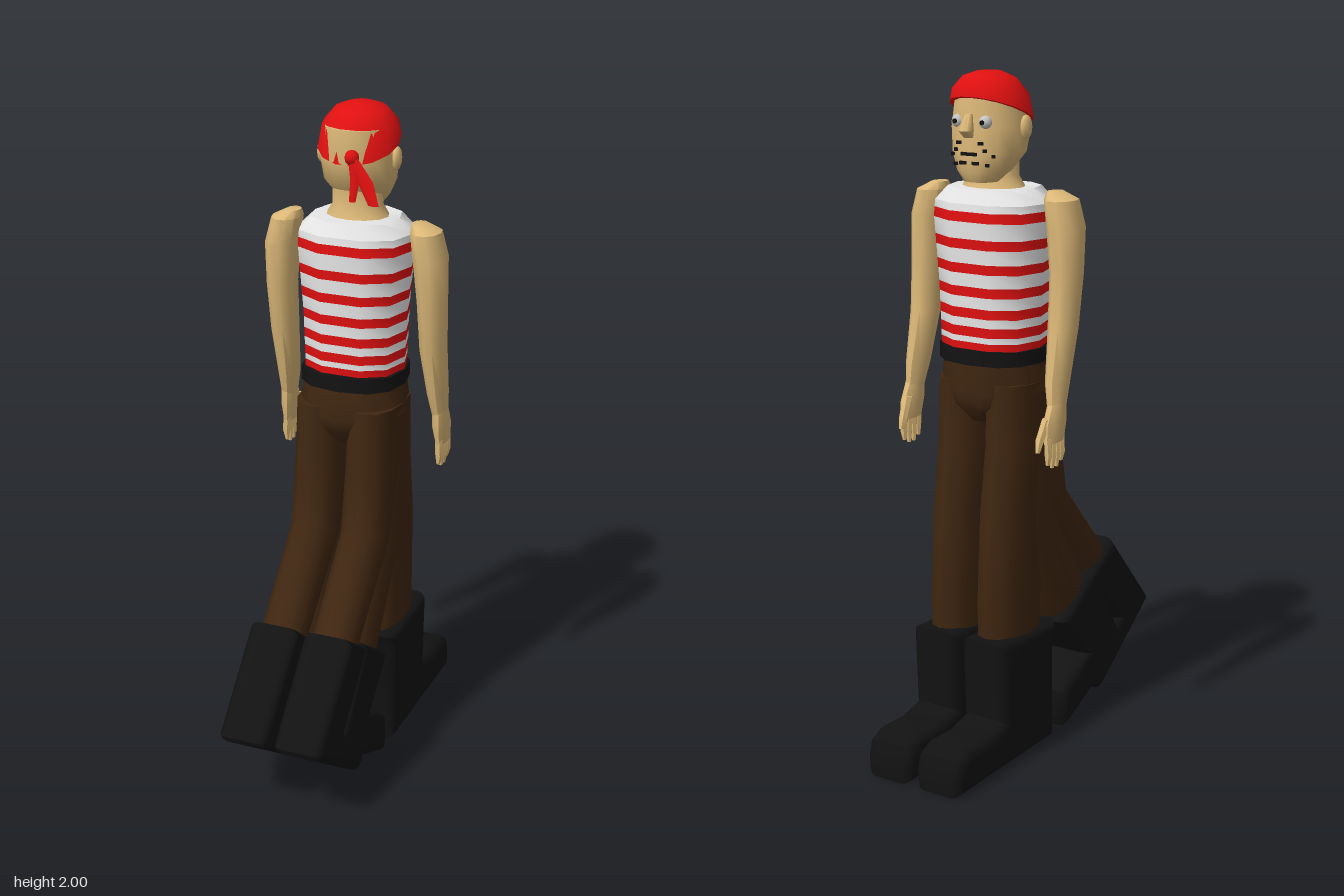
import * as THREE from 'three';
import { toCreasedNormals } from 'three/addons/utils/BufferGeometryUtils.js';

const paint = (name, color) => {
  const m = new THREE.MeshStandardMaterial({ color });
  m.name = name;
  return m;
};

// Skin over elliptical rings listed top to bottom: [x, y, z, radiusX, radiusZ, tilt]
function loft(rings, n = 12, power = 1, crease = 0.8) {
  const pos = [], idx = [];
  const bend = (v) => Math.sign(v) * Math.pow(Math.abs(v), power);
  for (const [x, y, z, rx, rz, tilt = 0] of rings) {
    for (let j = 0; j < n; j++) {
      const a = (j / n) * Math.PI * 2;
      const s = bend(Math.sin(a)) * rz;
      pos.push(x + rx * bend(Math.cos(a)), y + s * Math.sin(tilt), z + s * Math.cos(tilt));
    }
  }
  const last = rings.length - 1, top = rings.length * n;
  pos.push(...rings[0].slice(0, 3), ...rings[last].slice(0, 3));
  for (let j = 0; j < n; j++) {
    const k = (j + 1) % n;
    for (let i = 0; i < last; i++) {
      const a = i * n + j, b = i * n + k;
      idx.push(a, b, a + n, b, b + n, a + n);
    }
    idx.push(top, k, j, top + 1, last * n + j, last * n + k);
  }
  const g = new THREE.BufferGeometry();
  g.setAttribute('position', new THREE.Float32BufferAttribute(pos, 3));
  g.setIndex(idx);
  return toCreasedNormals(g, crease);
}

// Side profile in (z, y), extruded across x with rounded sides
function sideExtrude(points, width, bevel) {
  const shape = new THREE.Shape(points.map(([z, y]) => new THREE.Vector2(-z, y)));
  const g = new THREE.ExtrudeGeometry(shape, {
    depth: width - 2 * bevel, bevelEnabled: true, bevelSize: bevel,
    bevelOffset: -bevel, bevelThickness: bevel, bevelSegments: 3,
  });
  g.translate(0, 0, -(width - 2 * bevel) / 2);
  g.rotateY(Math.PI / 2);
  return toCreasedNormals(g, 0.7);
}

export function createModel() {
  const skin = paint('skin', 0xdcb878), red = paint('red cloth', 0xe01010);
  const white = paint('white cloth', 0xe8e8e8), brown = paint('brown trousers', 0x3f2611);
  const black = paint('black leather', 0x121212), eyeGrey = paint('eye grey', 0xc4c4c4);

  const model = new THREE.Group();
  const add = (name, geometry, material, parent = model) => {
    const m = new THREE.Mesh(geometry, material);
    m.name = name;
    parent.add(m);
    return m;
  };

  // Striped shirt: bands cut from one tapered body
  const body = [[1.2, 0.15, 0.13], [1.4, 0.157, 0.133], [1.6, 0.175, 0.138], [1.64, 0.172, 0.132], [1.68, 0.13, 0.115]];
  const bodyRing = (y) => {
    let i = 0;
    while (i < body.length - 2 && y > body[i + 1][0]) i++;
    const [a, b] = [body[i], body[i + 1]], t = (y - a[0]) / (b[0] - a[0]);
    return [0, y, -0.11, a[1] + (b[1] - a[1]) * t, a[2] + (b[2] - a[2]) * t];
  };
  const shirt = new THREE.Group();
  shirt.name = 'shirt';
  model.add(shirt);
  let from = 1.2;
  const band = (to, mat, name) => {
    add(name, loft([bodyRing(to), bodyRing(from)], 10, 0.8), mat, shirt);
    from = to;
  };
  for (const y of [1.235, 1.28, 1.333, 1.394, 1.46, 1.529, 1.605]) {
    band(y - 0.014, white, 'whiteBand');
    band(y + 0.014, red, 'redStripe');
  }
  band(1.64, white, 'whiteBand');
  band(1.68, white, 'shoulderYoke');

  // Belt and hips
  add('belt', loft([[0, 1.228, -0.105, 0.157, 0.143], [0, 1.185, -0.105, 0.157, 0.146]], 12, 0.8), black);
  add('hips', loft([[0, 1.2, -0.105, 0.15, 0.135], [0, 1.1, -0.095, 0.164, 0.15],
    [0, 1.06, -0.098, 0.13, 0.143], [0, 1.01, -0.1, 0.06, 0.1]], 14, 0.9), brown);

  // Three walking poses, each repeated on both sides
  const poses = [
    { name: 'forward',
      leg: [[1.13, -0.1, 0.078, 0.13], [0.95, -0.118, 0.074, 0.122], [0.75, -0.165, 0.07, 0.105],
        [0.5, -0.16, 0.068, 0.13], [0.3, -0.165, 0.065, 0.125]],
      boot: [[-0.03, 0.005], [-0.035, 0.33], [-0.015, 0.375], [-0.315, 0.39], [-0.305, 0.15], [-0.38, 0.132],
        [-0.48, 0.137], [-0.535, 0.115], [-0.55, 0.06], [-0.545, 0.005]] },
    { name: 'trailing',
      leg: [[1.13, -0.1, 0.078, 0.13], [0.95, -0.09, 0.074, 0.115], [0.68, -0.06, 0.07, 0.1, 0.3],
        [0.38, 0.13, 0.066, 0.1, 0.6]],
      boot: [[0.2, 0.47], [0.37, 0.22], [0.36, 0.2], [0.25, 0.1], [0.04, 0.005], [0.02, 0.05],
        [0.02, 0.125], [0.1, 0.18], [0.16, 0.205], [0.02, 0.35]] },
    { name: 'raised',
      leg: [[1.13, -0.085, 0.078, 0.135], [0.95, -0.05, 0.074, 0.118], [0.73, 0.015, 0.07, 0.085, 0.4],
        [0.46, 0.27, 0.066, 0.075, 0.8]],
      boot: [[0.315, 0.538], [0.55, 0.28], [0.545, 0.262], [0.25, 0.055], [0.21, 0.09], [0.21, 0.16],
        [0.32, 0.23], [0.36, 0.255], [0.18, 0.45]] },
  ];
  for (const s of [1, -1]) {
    const side = s > 0 ? 'left' : 'right';
    for (const p of poses) {
      const leg = new THREE.Group();
      leg.name = `${side} ${p.name} leg`;
      model.add(leg);
      add('trouserLeg', loft(p.leg.map((r) => [s * 0.081, ...r]), 12, 0.9), brown, leg);
      add('boot', sideExtrude(p.boot, 0.155, 0.03).translate(s * 0.086, 0, 0), black, leg);
    }

    // Arm, palm, fingers and thumb
    const arm = new THREE.Group();
    arm.name = `${side} arm`;
    model.add(arm);
    const limb = (name, rings, n) => add(name, loft(rings.map(([x, ...r]) => [s * x, ...r]), n), skin, arm);
    limb('sleevelessArm', [[0.195, 1.677, -0.1, 0.022, 0.03], [0.215, 1.655, -0.1, 0.045, 0.06],
      [0.23, 1.58, -0.1, 0.05, 0.067], [0.236, 1.45, -0.105, 0.044, 0.058], [0.236, 1.3, -0.122, 0.04, 0.052],
      [0.24, 1.15, -0.157, 0.03, 0.048], [0.245, 1.07, -0.17, 0.021, 0.036]], 10);
    limb('palm', [[0.245, 1.1, -0.165, 0.022, 0.036], [0.246, 1.04, -0.18, 0.024, 0.052],
      [0.248, 0.985, -0.187, 0.016, 0.048]], 10);
    for (let i = 0; i < 4; i++) {
      const z = -0.151 - i * 0.023, end = 0.922 - (i === 1 || i === 2 ? 0.012 : 0);
      limb('finger', [[0.248, 1.0, z, 0.012, 0.012], [0.25, 0.95, z, 0.012, 0.011], [0.248, end, z, 0.006, 0.006]], 6);
    }
    limb('thumb', [[0.24, 1.055, -0.21, 0.015, 0.02], [0.235, 1.0, -0.24, 0.014, 0.015],
      [0.235, 0.965, -0.252, 0.007, 0.008]], 6);

    // Ear and eye
    const ear = add('ear', new THREE.SphereGeometry(1, 8, 6), skin);
    ear.scale.set(0.014, 0.035, 0.024);
    ear.position.set(s * 0.114, 1.85, -0.125);
    const eye = add('eye', new THREE.SphereGeometry(0.019, 10, 8), eyeGrey);
    eye.position.set(s * 0.045, 1.868, -0.222);
    const pupil = add('pupil', new THREE.CylinderGeometry(0.007, 0.007, 0.006, 8), black);
    pupil.rotation.x = Math.PI / 2;
    pupil.position.set(s * 0.045, 1.868, -0.24);
  }

  // Head, neck and nose
  add('neck', loft([[0, 1.78, -0.115, 0.075, 0.07], [0, 1.71, -0.115, 0.076, 0.062], [0, 1.67, -0.115, 0.1, 0.08]], 12), skin);
  add('head', loft([[0, 1.94, -0.125, 0.1, 0.105], [0, 1.85, -0.125, 0.112, 0.115], [0, 1.78, -0.135, 0.105, 0.105],
    [0, 1.73, -0.16, 0.077, 0.08], [0, 1.7, -0.175, 0.05, 0.05]], 16), skin);
  add('nose', loft([[0, 1.89, -0.235, 0.01, 0.012], [0, 1.845, -0.25, 0.02, 0.026], [0, 1.825, -0.238, 0.014, 0.014]], 8), skin);

  // Mouth line and stubble, thin plates around the jaw
  const marks = [[0, 1.78, 0.05], [0.045, 1.79, 0.016], [0.065, 1.775, 0.016], [0.05, 1.75, 0.018], [0.02, 1.755, 0.022], [0.035, 1.81, 0.016]];
  for (const [mx, y, w] of marks) {
    for (const s of mx ? [1, -1] : [1]) {
      const t = Math.max(0, (1.78 - y) / 0.05);
      const rx = 0.105 - 0.028 * t, rz = 0.105 - 0.025 * t, c = -0.135 - 0.025 * t;
      const a = Math.asin(mx / rx);
      const m = add('stubble', new THREE.BoxGeometry(w, 0.009, 0.008), black);
      m.position.set(s * mx, y, c - rz * Math.cos(a));
      m.rotation.y = s * a;
    }
  }

  // Headscarf with knot and two tails at the back
  add('headscarf', loft([[0, 2, -0.137, 0.035, 0.035], [0, 1.985, -0.135, 0.075, 0.073, -0.05],
    [0, 1.945, -0.13, 0.109, 0.107, -0.15], [0, 1.89, -0.125, 0.12, 0.124, -0.38]], 14), red);
  const knot = add('scarfKnot', new THREE.SphereGeometry(0.022, 8, 6), red);
  knot.position.set(0.025, 1.87, -0.008);
  add('longTail', loft([[0.025, 1.88, -0.005, 0.012, 0.01], [0.07, 1.81, 0.006, 0.024, 0.007],
    [0.1, 1.745, 0.015, 0.016, 0.005]], 6), red);
  add('shortTail', loft([[0.025, 1.88, -0.005, 0.012, 0.01], [0.04, 1.81, 0.006, 0.014, 0.007],
    [0.035, 1.75, 0.013, 0.01, 0.005]], 6), red);

  return model;
}
